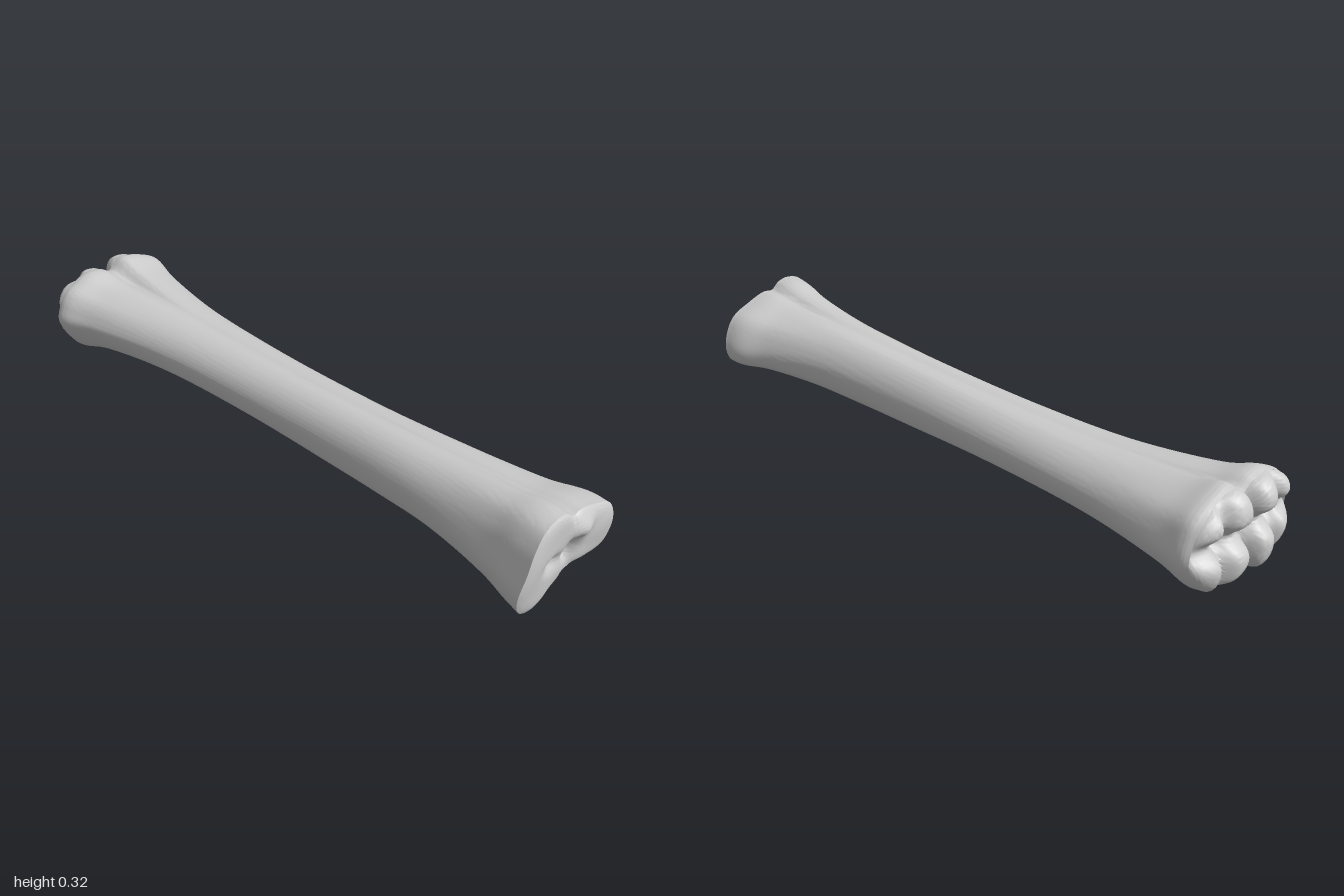
import * as THREE from 'three';
import { toCreasedNormals } from 'three/addons/utils/BufferGeometryUtils.js';

const { smoothstep, lerp } = THREE.MathUtils;
const AROUND = 114, ALONG = 90, CAP = 28;

// Closed outline from (z, y) pairs, resampled and scaled to a 0..1 box.
function outline(pairs) {
  const curve = new THREE.CatmullRomCurve3(
    pairs.map(([z, y]) => new THREE.Vector3(0, y, z)), true, 'catmullrom', 0.5);
  const pts = [];
  for (let j = 0; j < AROUND; j++) pts.push(curve.getPoint(j / AROUND));
  const box = new THREE.Box3().setFromPoints(pts);
  const size = box.getSize(new THREE.Vector3());
  return pts.map(p => [(p.z - box.min.z) / size.z, (p.y - box.min.y) / size.y]);
}

// Outlines share matching points: +z side, over the top, -z side, underneath.
const lowerEnd = outline([
  [.222, .13], [.215, .19], [.19, .235], [.155, .258], [.1, .28], [.045, .275], [0, .252],
  [-.045, .288], [-.11, .275], [-.18, .24], [-.21, .19], [-.225, .12], [-.19, .05],
  [-.12, .01], [-.04, .033], [0, .035], [.035, .02], [.07, 0], [.16, .03]]);
const shaft = outline([
  [1, .45], [.95, .65], [.8, .82], [.58, .94], [.32, 1], [.12, .995], [0, .98],
  [-.15, .995], [-.45, .97], [-.75, .83], [-.95, .62], [-1, .4], [-.85, .1],
  [-.5, 0], [-.15, .12], [.15, .12], [.4, .02], [.6, 0], [.88, .13]]);
const upperEnd = outline([
  [.19, .12], [.175, .19], [.155, .25], [.12, .3], [.07, .317], [.03, .31], [0, .288],
  [-.04, .29], [-.1, .27], [-.165, .24], [-.2, .19], [-.215, .13], [-.19, .085],
  [-.1, .09], [-.03, .098], [.04, .075], [.08, .055], [.12, .03], [.17, .055]]);

// Extents along the bone: x, lowest y, highest y, lowest z, highest z.
const stations = [
  [-.94, .004, .282, -.222, .217], [-.9, .004, .288, -.226, .217], [-.8, .03, .262, -.2, .18],
  [-.6, .058, .243, -.165, .137], [-.4, .067, .236, -.145, .115], [-.1, .068, .239, -.128, .102],
  [.2, .063, .25, -.122, .1], [.4, .064, .26, -.126, .106], [.6, .066, .272, -.142, .12],
  [.8, .05, .295, -.178, .146], [.9, .035, .316, -.213, .172], [.957, .032, .318, -.215, .188]];
const spline = (a, b) => new THREE.CatmullRomCurve3(
  stations.map(s => new THREE.Vector3(s[0], s[a], s[b])), false, 'catmullrom', 0.5);
const heights = spline(1, 2), widths = spline(3, 4);

const bump = (y, z, y0, z0, ry, rz) => Math.exp(-(((y - y0) / ry) ** 2) - ((z - z0) / rz) ** 2);

// One ring of the shaft, its upper rim leaning with the end face.
function ring(t) {
  const h = heights.getPoint(t), w = widths.getPoint(t), x = h.x;
  const low = 1 - smoothstep(x, -.95, -.5), up = smoothstep(x, .5, .95);
  return shaft.map(([sz, sy], j) => {
    const fz = lerp(lerp(sz, lowerEnd[j][0], low), upperEnd[j][0], up);
    const fy = lerp(lerp(sy, lowerEnd[j][1], low), upperEnd[j][1], up);
    const y = lerp(h.y, h.z, fy), z = lerp(w.y, w.z, fz);
    const lean = .018 * smoothstep(x, .85, .957) * smoothstep(y, .03, .22);
    return new THREE.Vector3(x + lean, y, z);
  });
}

// Knuckled end: rounded rim, four lobes across, a furrow at mid height.
function lowerRelief(u, y, z) {
  const dome = .06 * Math.pow(Math.max(0, 1 - u ** 4), .6);
  const dents = .06 * bump(0, z, 0, .003, 1, .024)
    + .038 * bump(0, z, 0, -.115, 1, .022) + .038 * bump(0, z, 0, .115, 1, .022)
    + .05 * bump(y, 0, .155, 0, .032, 1);
  return -dome + Math.min(dents, .075) * (1 - .45 * u ** 6);
}

// Flat joint face: small rounded rim, central pit, side hollow and a knob.
function upperRelief(u, y, z) {
  const inside = 1 - u ** 10;
  return inside * (.012 - .05 * bump(y, z, .165, -.012, .04, .024)
    - .02 * bump(y, z, .17, .065, .025, .035) - .012 * bump(y, z, .09, -.02, .03, .03)
    + .022 * bump(y, z, .235, -.035, .035, .04) + .006 * bump(y, z, .17, -.13, .08, .05));
}

// Shrinks a rim ring towards a centre and adds relief.
function capRing(rim, u, cy, cz, relief) {
  const cx = rim.reduce((sum, p) => sum + p.x, 0) / rim.length;
  return rim.map(p => {
    const y = lerp(cy, p.y, u), z = lerp(cz, p.z, u);
    return new THREE.Vector3(lerp(cx, p.x, u) + relief(u, y, z), y, z);
  });
}

function loft(rings) {
  const positions = [], index = [];
  rings.forEach(r => r.forEach(p => positions.push(p.x, p.y, p.z)));
  for (let i = 0; i < rings.length - 1; i++) {
    for (let j = 0; j < AROUND; j++) {
      const a = i * AROUND + j, c = i * AROUND + (j + 1) % AROUND;
      index.push(a, a + AROUND, c, c, a + AROUND, c + AROUND);
    }
  }
  const geometry = new THREE.BufferGeometry();
  geometry.setAttribute('position', new THREE.Float32BufferAttribute(positions, 3));
  geometry.setIndex(index);
  return toCreasedNormals(geometry, Math.PI / 4);
}

export function createModel() {
  const model = new THREE.Group();
  model.name = 'longBone';
  const material = new THREE.MeshStandardMaterial({ color: 0xcccccc, roughness: 0.8 });
  const body = [], lower = [], upper = [];
  for (let i = 0; i <= ALONG; i++) body.push(ring(i / ALONG));
  for (let i = 0; i <= CAP; i++) {
    const u = Math.sin(i / CAP * Math.PI / 2);
    lower.push(capRing(body[0], u, .145, 0, lowerRelief));
    upper.unshift(capRing(body[ALONG], u, .18, -.01, upperRelief));
  }
  // The shaft starts on the lower end's dented rim.
  body[0] = lower[CAP];
  const parts = { knuckleEnd: lower, shaft: body, jointFace: upper };
  for (const [name, rings] of Object.entries(parts)) {
    const mesh = new THREE.Mesh(loft(rings), material);
    mesh.name = name;
    model.add(mesh);
  }
  return model;
}
